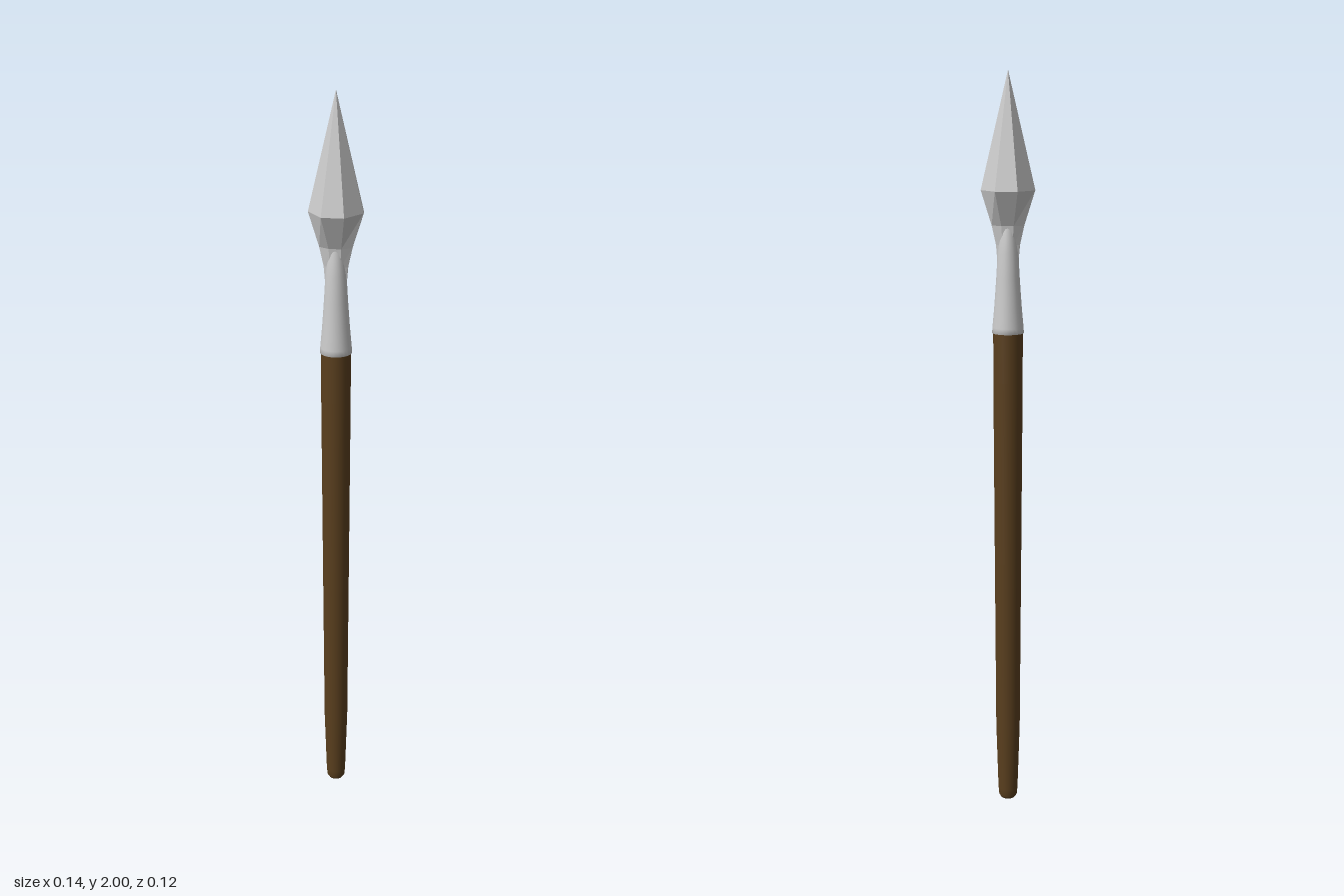
import * as THREE from 'three';

const metal = new THREE.MeshStandardMaterial({ color: 0xcccccc });
const facetedMetal = new THREE.MeshStandardMaterial({ color: 0xcccccc, flatShading: true });
const wood = new THREE.MeshStandardMaterial({ color: 0x5a3f1e });

// Round part turned from [radius, y] pairs, listed bottom to top
function turned(name, profile, material, sides) {
  const points = profile.map(([r, y]) => new THREE.Vector2(r, y));
  const mesh = new THREE.Mesh(new THREE.LatheGeometry(points, sides), material);
  mesh.name = name;
  return mesh;
}

// Eight-cornered section: two broad flats at front and back, thin edges at the sides
function section({ y, edgeX, edgeZ, flatX, flatZ }) {
  return [
    [edgeX, edgeZ], [flatX, flatZ], [-flatX, flatZ], [-edgeX, edgeZ],
    [-edgeX, -edgeZ], [-flatX, -flatZ], [flatX, -flatZ], [edgeX, -edgeZ],
  ].map(([x, z]) => [x, y, z]);
}

function bladeGeometry() {
  const rings = [
    { y: 1.5, edgeX: 0.026, edgeZ: 0.004, flatX: 0.012, flatZ: 0.012 },
    { y: 1.56, edgeX: 0.031, edgeZ: 0.004, flatX: 0.013, flatZ: 0.014 },
    { y: 1.61, edgeX: 0.042, edgeZ: 0.005, flatX: 0.016, flatZ: 0.02 },
    { y: 1.7, edgeX: 0.07, edgeZ: 0.006, flatX: 0.029, flatZ: 0.062 },
    { y: 2, edgeX: 0, edgeZ: 0, flatX: 0, flatZ: 0 },
  ].map(section);
  const positions = [];
  for (let i = 0; i < rings.length - 1; i++) {
    for (let j = 0; j < 8; j++) {
      const k = (j + 1) % 8;
      const a = rings[i][j], b = rings[i][k], c = rings[i + 1][k], d = rings[i + 1][j];
      positions.push(...a, ...d, ...b);
      if (i < rings.length - 2) positions.push(...b, ...d, ...c);
    }
  }
  const geometry = new THREE.BufferGeometry();
  geometry.setAttribute('position', new THREE.Float32BufferAttribute(positions, 3));
  geometry.computeVertexNormals();
  return geometry;
}

export function createModel() {
  const spear = new THREE.Group();
  spear.name = 'spear';

  // Tapered wooden pole with a rounded butt
  spear.add(turned('shaft', [
    [0, 0], [0.02, 0], [0.025, 0.008], [0.027, 0.03], [0.033, 0.22],
    [0.036, 0.7], [0.039, 1.2], [0.039, 1.34],
  ], wood, 24));

  // Metal socket gripping the pole, narrowing into the blade
  spear.add(turned('socket', [
    [0.036, 1.33], [0.042, 1.33], [0.041, 1.345], [0.036, 1.4], [0.031, 1.47],
    [0.027, 1.54], [0.02, 1.6], [0.012, 1.64], [0, 1.66],
  ], metal, 24));

  // Faceted spearhead
  const blade = new THREE.Mesh(bladeGeometry(), facetedMetal);
  blade.name = 'blade';
  spear.add(blade);

  return spear;
}
